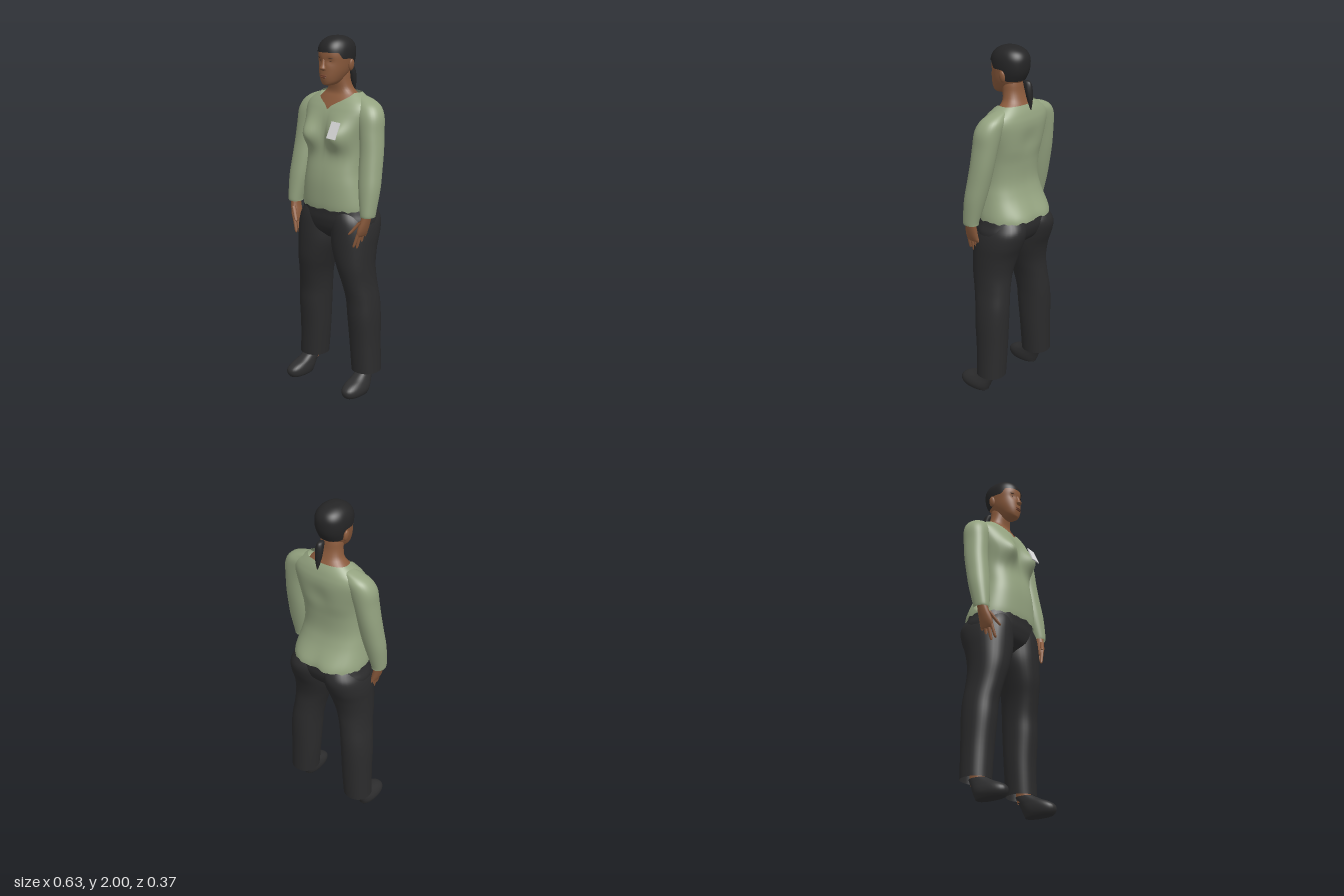
import * as THREE from 'three';

const mat = (name, color, side = THREE.DoubleSide) => {
  const m = new THREE.MeshStandardMaterial({ color, side });
  m.name = name;
  return m;
};

// Catmull-Rom sample of a section table at fractional index t
function sample(rows, t) {
  const last = rows.length - 1;
  const i = Math.min(Math.floor(t), last - 1), f = t - i;
  const row = k => rows[Math.max(0, Math.min(last, k))];
  const [a, b, c, d] = [row(i - 1), row(i), row(i + 1), row(i + 2)];
  return b.map((v, k) => v + 0.5 * f * (c[k] - a[k] + f * (2 * a[k] - 5 * v + 4 * c[k] - d[k]
    + f * (3 * (v - c[k]) + d[k] - a[k]))));
}

// Fractional index at which the table reaches height y
function indexAt(rows, y) {
  let lo = 0, hi = rows.length - 1;
  for (let k = 0; k < 24; k++) {
    const m = (lo + hi) / 2;
    if (sample(rows, m)[0] < y) lo = m; else hi = m;
  }
  return (lo + hi) / 2;
}

// Loft through horizontal sections [y, centreX, halfWidth, zFront, zBack].
// lo / hi give the cut heights around the ring (angle 0 is the front).
function loft(rows, { n = 2.2, nu = 32, nv = 24, lo, hi, bump, side = 1 } = {}) {
  const pos = [], idx = [];
  const pw = v => Math.sign(v) * Math.abs(v) ** (2 / n);
  for (let j = 0; j < nu; j++) {
    const th = (j / nu) * Math.PI * 2, a = Math.min(th, Math.PI * 2 - th);
    const t0 = lo ? indexAt(rows, lo(a, th)) : 0;
    const t1 = hi ? indexAt(rows, hi(a, th)) : rows.length - 1;
    for (let i = 0; i <= nv; i++) {
      const [y, x, r, zf, zb] = sample(rows, t0 + (t1 - t0) * i / nv);
      const p = [side * x + r * pw(Math.sin(th)), y, (zf + zb) / 2 + (zf - zb) / 2 * pw(Math.cos(th))];
      if (bump) p[2] += bump(p[0], y, Math.cos(th));
      pos.push(...p);
      if (i < nv) {
        const q = j * (nv + 1) + i, s = ((j + 1) % nu) * (nv + 1) + i;
        idx.push(q, s, q + 1, s, s + 1, q + 1);
      }
    }
  }
  const g = new THREE.BufferGeometry();
  g.setAttribute('position', new THREE.Float32BufferAttribute(pos, 3));
  g.setIndex(idx);
  g.computeVertexNormals();
  return g;
}

const smooth = THREE.MathUtils.smoothstep;
const hill = (x, y, cx, cy, s) => Math.exp(-((Math.abs(x) - cx) ** 2 + (y - cy) ** 2) / (2 * s * s));

export function createModel() {
  const model = new THREE.Group();
  const skin = mat('brown skin', 0x8a5a3c), shirt = mat('sage shirt', 0x94a380);
  const trousers = mat('charcoal trousers', 0x2b2b2c), hair = mat('black hair', 0x252526);
  const shoe = mat('dark shoe', 0x2e2e2f), white = mat('badge white', 0xdadada);
  const lip = mat('lip', 0x74432f), dark = mat('eye dark', 0x2a1c16);

  const add = (name, geo, material, parent = model) => {
    const m = new THREE.Mesh(geo, material);
    m.name = name;
    parent.add(m);
    return m;
  };
  const blob = (name, material, p, s) => {
    const m = add(name, new THREE.SphereGeometry(1, 16, 12), material);
    m.position.set(...p);
    m.scale.set(...s);
    return m;
  };

  // Shirt body with a ragged hem and a V neckline
  const body = [
    [1.05, 0, .213, .138, -.17], [1.1, 0, .21, .145, -.165], [1.2, 0, .19, .145, -.125],
    [1.28, 0, .176, .136, -.107], [1.38, 0, .175, .115, -.112], [1.47, 0, .185, .106, -.13],
    [1.56, 0, .208, .1, -.138], [1.61, 0, .215, .085, -.137], [1.645, 0, .2, .066, -.13],
    [1.675, 0, .16, .045, -.12], [1.705, 0, .115, .018, -.104]];
  add('shirtBody', loft(body, {
    n: 2.4, nu: 96, nv: 60,
    lo: (a, th) => 1.068 + .006 * Math.sin(th * 17) * Math.sin(th * 5 + 1),
    hi: a => 1.61 + .09 * Math.sqrt(Math.min(1, a / 1.1)),
    bump: (x, y, c) => c > 0
      ? .066 * hill(x, y, .105, 1.475, .052) * Math.min(1, c * 2)
      : .02 * hill(x, y, .095, 1.05, .06) * Math.max(-1, c * 2) + .012 * hill(x, y, 0, 1.5, .05) * -c,
  }), shirt);

  // Chest and neck
  add('neck', loft([
    [1.56, 0, .17, .094, -.12], [1.61, 0, .17, .079, -.12], [1.645, 0, .15, .06, -.115],
    [1.675, 0, .122, .042, -.108], [1.695, 0, .098, .03, -.097], [1.72, 0, .074, .029, -.083],
    [1.76, 0, .063, .036, -.07], [1.8, 0, .06, .04, -.066], [1.84, 0, .05, .03, -.06]]), skin);

  // Head with shallow eye sockets
  const head = [
    [1.738, 0, 0, .07, .07], [1.743, 0, .026, .1, .03], [1.758, 0, .045, .109, 0],
    [1.785, 0, .06, .115, -.04], [1.82, 0, .073, .115, -.072], [1.86, 0, .081, .113, -.092],
    [1.9, 0, .085, .114, -.1], [1.94, 0, .081, .107, -.098], [1.97, 0, .064, .084, -.077],
    [1.99, 0, .034, .046, -.036], [1.996, 0, 0, .005, .005]];
  add('head', loft(head, {
    nu: 64, nv: 48, bump: (x, y, c) => c > 0 ? -.008 * hill(x, y, .034, 1.872, .013) : 0 }), skin);

  // Swept-back hair, cut along the hairline around the ears
  const cap = head.slice(4).map(([y, x, r, f, b]) =>
    [y + .004 * smooth(y, 1.9, 1.99), x, r + .005, f + .004, b - .005]);
  cap[cap.length - 1][2] = 0;
  add('hair', loft(cap, {
    nu: 64, nv: 30,
    lo: a => 1.917 - .035 * smooth(a, .9, 1.25) - .062 * smooth(a, 1.72, 2) }), hair);
  add('ponytail', loft([
    [1.675, 0, .002, -.134, -.139], [1.7, 0, .01, -.125, -.141], [1.74, 0, .018, -.112, -.143],
    [1.78, 0, .021, -.1, -.141], [1.81, 0, .018, -.088, -.136], [1.825, 0, .012, -.086, -.126],
    [1.83, 0, 0, -.105, -.105]], { nu: 14 }), hair);

  // Face
  add('nose', loft([
    [1.818, 0, 0, .112, .105], [1.823, 0, .014, .122, .1], [1.833, 0, .018, .134, .1],
    [1.85, 0, .012, .126, .1], [1.88, 0, .007, .115, .1], [1.89, 0, 0, .11, .1]], { nu: 16 }), skin);
  blob('upperLip', lip, [0, 1.795, .112], [.023, .005, .009]);
  blob('lowerLip', lip, [0, 1.786, .112], [.02, .006, .009]);
  for (const s of [1, -1]) {
    blob('eye', dark, [s * .034, 1.872, .091], [.013, .005, .008]).rotation.y = s * .3;
    blob('eyebrow', dark, [s * .035, 1.888, .1], [.018, .003, .004]).rotation.y = s * .3;
    blob('ear', skin, [s * .088, 1.848, -.012], [.011, .032, .019]).rotation.z = -s * .15;
  }

  // Hips
  add('hips', loft([
    [.89, 0, .1, .06, -.06], [.94, 0, .215, .113, -.13], [1, 0, .234, .131, -.16],
    [1.05, 0, .217, .132, -.163], [1.1, 0, .2, .132, -.152]], { n: 2.4, nu: 48 }), trousers);

  for (const s of [1, -1]) {
    const side = s > 0 ? 'left' : 'right';
    const part = (name, rows, material, opts = {}) =>
      add(side + name, loft(rows, { side: s, ...opts }), material);

    part('Sleeve', [
      [1.055, .268, .037, .098, .012], [1.08, .268, .041, .1, .008], [1.2, .258, .058, .09, -.025],
      [1.3, .248, .062, .075, -.05], [1.4, .24, .062, .06, -.072], [1.5, .228, .064, .052, -.088],
      [1.58, .212, .074, .045, -.098], [1.63, .19, .072, .028, -.1], [1.66, .165, .058, .005, -.09],
      [1.682, .13, .03, -.02, -.075], [1.688, .12, 0, -.045, -.045]], shirt, { nv: 48 });

    part('TrouserLeg', [
      [.125, .2, .081, .06, -.105], [.3, .19, .085, .066, -.11], [.45, .185, .087, .08, -.115],
      [.55, .178, .086, .086, -.115], [.65, .163, .087, .105, -.108], [.75, .145, .1, .125, -.106],
      [.85, .128, .117, .132, -.128], [.93, .122, .122, .133, -.16], [1, .115, .117, .13, -.178],
      [1.05, .105, .1, .118, -.163], [1.1, .1, .075, .09, -.12]], trousers, { nv: 48 });

    part('Ankle', [[.09, .205, .034, .035, -.045], [.16, .203, .034, .03, -.055],
      [.3, .195, .04, .03, -.06]], skin, { nu: 16, nv: 6 });

    part('Shoe', [
      [.004, .215, 0, .08, .08], [.005, .215, .034, .155, .005], [.014, .215, .046, .174, -.004],
      [.035, .215, .053, .185, -.014], [.058, .213, .053, .18, -.024], [.08, .21, .048, .15, -.035],
      [.1, .207, .043, .1, -.045], [.125, .205, .038, .055, -.056]], shoe, { n: 2.3 });

    // Hand: palm, four fingers, thumb
    part('Palm', [
      [.94, .235, 0, .07, .07], [.946, .236, .012, .105, .033], [.97, .243, .018, .111, .03],
      [1, .251, .021, .107, .03], [1.035, .26, .022, .098, .03], [1.08, .268, .024, .088, .03]],
    skin, { nu: 20 });
    const digit = (name, [x0, y0, z0], [x1, y1, z1], r) => {
      const rows = [[0, 0], [.06, .6], [.2, .85], [.6, 1], [1, 1.1]].map(([t, k]) => {
        const z = z1 + (z0 - z1) * t;
        return [y1 + (y0 - y1) * t, x1 + (x0 - x1) * t, r * k, z + r * k, z - r * k];
      });
      part(name, rows, skin, { n: 2, nu: 10, nv: 10 });
    };
    [[.04, .03, .9], [.06, .056, .872], [.08, .085, .868], [.1, .112, .882]].forEach(([z0, z1, y]) =>
      digit('Finger', [.24, .965, z0], [.214, y, z1], .0095));
    digit('Thumb', [.25, 1.03, .095], [.196, .955, .131], .011);
  }

  // Name badge, leaning back on the chest
  const badge = add('badge', new THREE.BoxGeometry(.06, .095, .006), white);
  badge.position.set(.1, 1.515, .145);
  badge.rotation.set(-.42, 0, -.05);
  return model;
}
